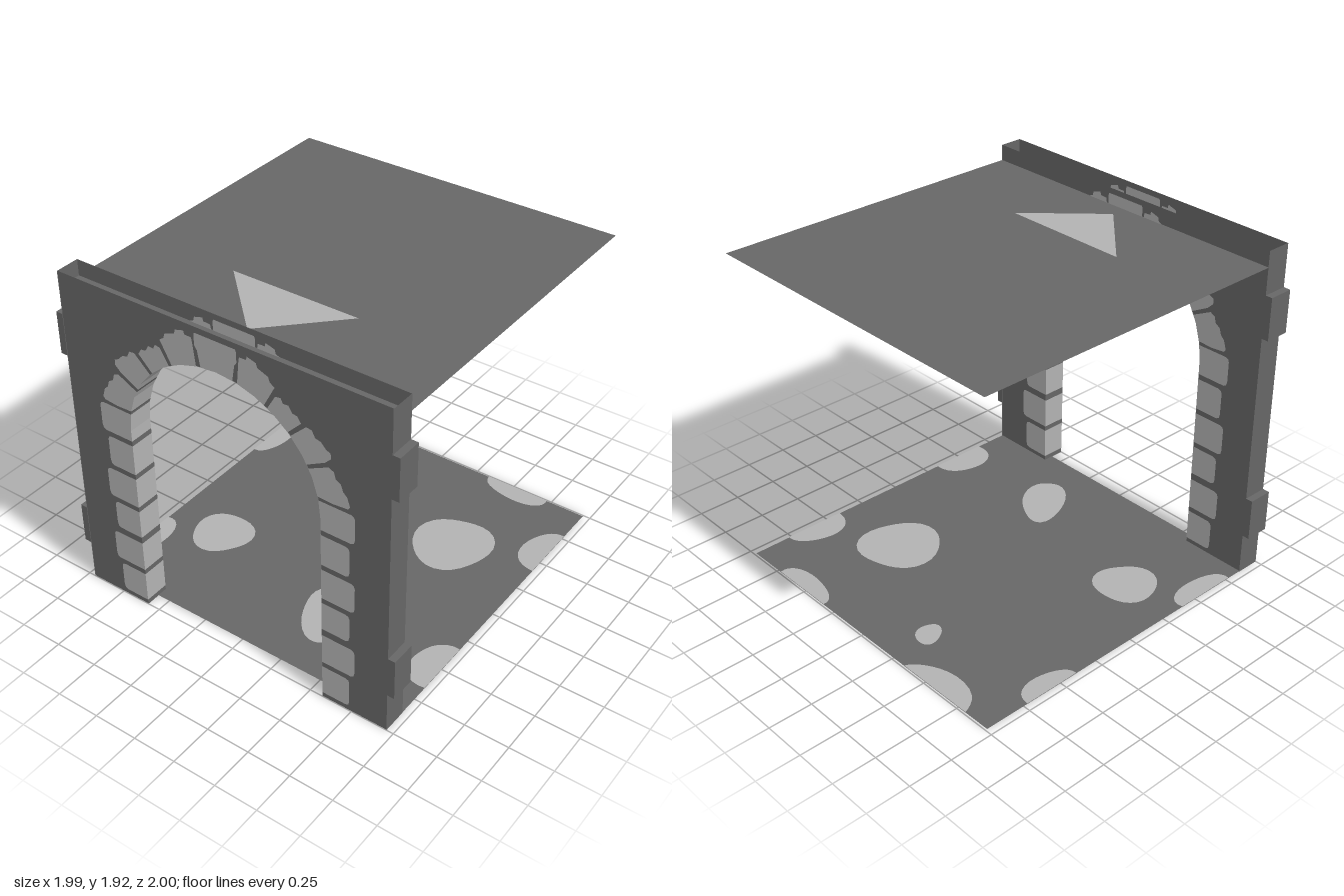
import * as THREE from 'three';

const OUT = -1, IN = -0.86;            // outer and inner wall faces
const R = 0.575, SPRING = 1.145;       // arch radius and springing height
const HALF = 0.96, TOP = 1.92, LIFT = 0.003;
const SEG = 16;

const material = (name, color) => {
  const m = new THREE.MeshStandardMaterial({ color, side: THREE.DoubleSide });
  m.name = name;
  return m;
};

// Point at an angle (degrees from the crown, + towards +z), in z/y
const polar = (deg, r) => {
  const a = THREE.MathUtils.degToRad(deg);
  return new THREE.Vector2(Math.sin(a) * r, SPRING + Math.cos(a) * r);
};

// Point on the many-sided arch curve
const archPoint = (deg) => {
  const step = 180 / SEG, off = ((deg + 90) % step) - step / 2;
  const rad = THREE.MathUtils.degToRad;
  return polar(deg, R * Math.cos(rad(step / 2)) / Math.cos(rad(off)));
};

// Points along the arch curve between two angles, keeping its corners
function archRun(a, b) {
  const step = 180 / SEG, pts = [archPoint(a)];
  for (let i = 0; i <= SEG; i++) {
    const d = -90 + i * step;
    if (d > a + 0.01 && d < b - 0.01) pts.push(archPoint(d));
  }
  pts.push(archPoint(b));
  return pts;
}

export function createModel() {
  const model = new THREE.Group();
  const dark = material('darkStone', 0x666666);
  const light = material('lightStone', 0xb2b2b2);

  const add = (parent, name, geo, mat) => {
    const mesh = new THREE.Mesh(geo, mat);
    mesh.name = name;
    parent.add(mesh);
    return mesh;
  };
  const group = (name) => {
    const g = new THREE.Group();
    g.name = name;
    model.add(g);
    return g;
  };
  // Flat sheet in the wall plane: shape x becomes z
  const upright = (parent, name, pts, x, mat) => {
    const geo = new THREE.ShapeGeometry(new THREE.Shape(pts)).rotateY(-Math.PI / 2);
    add(parent, name, geo.translate(x, 0, 0), mat);
  };
  // Flat sheet on the ground plane: shape y becomes z
  const level = (parent, name, pts, y, mat) => {
    const geo = new THREE.ShapeGeometry(new THREE.Shape(pts)).rotateX(Math.PI / 2);
    add(parent, name, geo.translate(0, y, 0), mat);
  };
  const vecs = (list) => list.map(([x, y]) => new THREE.Vector2(x, y));

  // Two wall sheets with the arched opening, left hollow between them
  const wall = group('wall');
  const wallOutline = [
    ...vecs([[-HALF, 0], [-HALF, TOP], [HALF, TOP], [HALF, 0], [R, 0]]),
    ...archRun(-90, 90).reverse(),
    new THREE.Vector2(-R, 0),
  ];
  upright(wall, 'outerSheet', wallOutline, OUT + LIFT, dark);
  upright(wall, 'innerSheet', wallOutline, IN - LIFT, dark);

  // Wall ends, each with two projecting blocks
  for (const s of [-1, 1]) {
    const end = new THREE.PlaneGeometry(IN - OUT, TOP);
    add(wall, 'wallEnd', end.translate((IN + OUT) / 2, TOP / 2, s * HALF), dark);
    for (const y of [0.36, 1.56]) {
      const block = new THREE.BoxGeometry(IN - OUT, 0.24, 0.04);
      add(wall, 'endBlock', block.translate((IN + OUT) / 2, y, s * 0.98), dark);
    }
  }

  // Stone outlines for one half of the arch, in z/y
  const jambRows = [[0.03, 0.21], [0.24, 0.42], [0.46, 0.63], [0.66, 0.84], [0.87, 1.05], [1.08, 1.25]];
  const halfStones = jambRows.map(([a, b], i) => {
    const w = i % 2 ? 0.768 : 0.738, c = 0.022;
    const inner = b > SPRING
      ? archRun(79.6, 90).map((p) => [p.x, p.y]) : [[R, b]];
    return [[R, a], [w - c, a], [w - 0.006, a + 0.008], [w, a + c + 0.01], [w, b - c],
      [w - 0.006, b - 0.007], [w - c, b], ...inner];
  });
  // Wedge stones: [inner start, inner end, outer edge as angle and radius]
  const wedges = [
    [12, 28, [[11, 0.70], [11, 0.725], [14, 0.735], [14, 0.755], [18, 0.755], [19, 0.735],
      [24, 0.735], [25.5, 0.715], [28, 0.71], [28, 0.64]]],
    [30, 44, [[30, 0.67], [32, 0.69], [34, 0.675], [36, 0.695], [39, 0.68], [41, 0.695], [44, 0.685]]],
    [46, 61, [[46, 0.70], [48, 0.72], [51, 0.71], [53, 0.73], [56, 0.735], [58, 0.75],
      [60, 0.735], [61, 0.69]]],
    [63, 77.5, [[63, 0.70], [65, 0.72], [68, 0.715], [70, 0.735], [73, 0.735], [75, 0.75],
      [79, 0.755], [80, 0.74], [79.5, 0.66]]],
  ];
  for (const [a, b, edge] of wedges) {
    const pts = [...archRun(a, b).reverse(), ...edge.map(([d, r]) => polar(d, r))];
    halfStones.push(pts.map((p) => [p.x, p.y]));
  }
  const keystone = [
    [-0.118, 1.89], [0.118, 1.89], [0.122, 1.878], [0.122, 1.82], [0.108, 1.80],
    ...archRun(-9.3, 9.3).reverse().map((p) => [p.x, p.y]), [-0.108, 1.80], [-0.122, 1.82], [-0.122, 1.878],
  ];

  // Stones show on both sides of each wall sheet
  const stones = group('archStones');
  for (const x of [OUT, OUT + 2 * LIFT, IN - 2 * LIFT, IN]) {
    for (const s of [-1, 1]) {
      for (const pts of halfStones) {
        upright(stones, 'archStone', vecs(pts.map(([z, y]) => [s * z, y])), x, light);
      }
    }
    upright(stones, 'keystone', vecs(keystone), x, light);
  }

  // Lining of the opening: light stones alternating with dark joints
  const lining = group('archLining');
  const strip = (name, pts, mat) => {
    const pos = [], idx = [];
    pts.forEach((p, i) => {
      pos.push(OUT, p.y, p.x, IN, p.y, p.x);
      if (i) idx.push(2 * i - 2, 2 * i - 1, 2 * i, 2 * i - 1, 2 * i + 1, 2 * i);
    });
    const geo = new THREE.BufferGeometry();
    geo.setAttribute('position', new THREE.Float32BufferAttribute(pos, 3));
    geo.setIndex(idx);
    const flat = geo.toNonIndexed();
    flat.computeVertexNormals();
    add(lining, name, flat, mat);
  };
  const jambCuts = [0, ...jambRows.flat().slice(0, -1), SPRING];
  const archCuts = [9.3, 12, 28, 30, 44, 46, 61, 63, 77.5, 79.6, 90];
  for (const s of [-1, 1]) {
    for (let i = 0; i + 1 < jambCuts.length; i++) {
      strip(i % 2 ? 'liningStone' : 'liningJoint',
        vecs([[s * R, jambCuts[i]], [s * R, jambCuts[i + 1]]]), i % 2 ? light : dark);
    }
    for (let i = 0; i + 1 < archCuts.length; i++) {
      const run = archRun(archCuts[i], archCuts[i + 1]);
      for (const p of run) p.x *= s;
      strip(i % 2 ? 'liningStone' : 'liningJoint', run, i % 2 ? light : dark);
    }
  }
  strip('liningKeystone', archRun(-9.3, 9.3), light);

  // Floor and ceiling sheets
  const X0 = -0.92, X1 = 0.99, Z = 0.96;
  const square = vecs([[X0, -Z], [X1, -Z], [X1, Z], [X0, Z]]);
  level(model, 'floor', square, LIFT, dark);
  level(model, 'ceiling', square, 1.83, dark);
  level(model, 'ceilingTriangle', vecs([[-0.77, 0], [-0.4, -0.38], [-0.4, 0.36]]), 1.83 + LIFT, light);

  // Rounded floor patches: x, z, half length, half width, turn
  const patches = [
    [0.35, 0.48, 0.23, 0.215, 0.3], [-0.32, -0.62, 0.17, 0.165, 0.9],
    [-0.54, 0.25, 0.21, 0.12, -0.6], [0.74, -0.23, 0.085, 0.065, -0.6],
    [0.99, -0.58, 0.13, 0.24, 0], [0.57, -0.96, 0.17, 0.11, 0],
    [-0.58, -0.96, 0.19, 0.12, 0], [0.99, 0.54, 0.11, 0.2, 0],
    [0.58, 0.96, 0.18, 0.15, 0], [-0.5, 0.96, 0.17, 0.17, 0],
  ];
  const floorPatches = group('floorPatches');
  patches.forEach(([cx, cz, a, b, turn], n) => {
    const pts = [];
    for (let i = 0; i < 28; i++) {
      const t = (i / 28) * Math.PI * 2;
      const k = 1 + 0.06 * Math.sin(3 * t + n) + 0.03 * Math.sin(2 * t + 2 * n);
      const u = a * k * Math.cos(t), v = b * k * Math.sin(t);
      pts.push([
        THREE.MathUtils.clamp(cx + u * Math.cos(turn) - v * Math.sin(turn), X0, X1),
        THREE.MathUtils.clamp(cz + u * Math.sin(turn) + v * Math.cos(turn), -Z, Z),
      ]);
    }
    for (const y of [0, 2 * LIFT]) level(floorPatches, 'floorPatch', vecs(pts), y, light);
  });

  return model;
}
